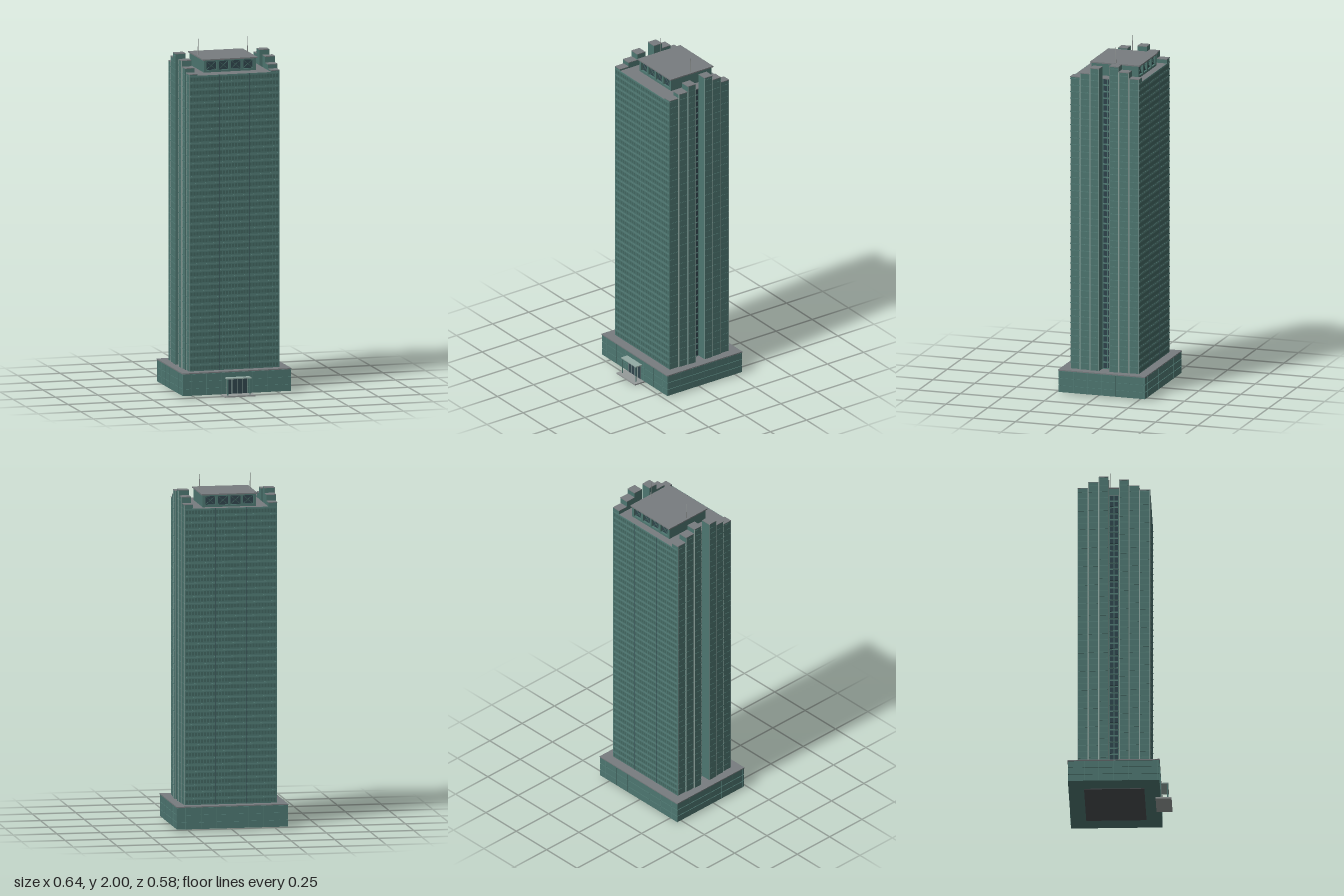
import * as THREE from 'three';
import { mergeGeometries } from 'three/addons/utils/BufferGeometryUtils.js';

const mat = (color, side = THREE.FrontSide) => new THREE.MeshStandardMaterial({ color, side });

// Box given by its limits on each axis
function box(x0, x1, y0, y1, z0, z1) {
  return new THREE.BoxGeometry(x1 - x0, y1 - y0, z1 - z0)
    .translate((x0 + x1) / 2, (y0 + y1) / 2, (z0 + z1) / 2);
}
const mirrorBox = (x0, x1, ...r) => [box(x0, x1, ...r), box(-x1, -x0, ...r)];

export function createModel() {
  const root = new THREE.Group();
  const wall = mat(0x4d7670), band = mat(0x557f79), pane = mat(0x41655f);
  const roof = mat(0x777c7f), dark = mat(0x2f444c), pale = mat(0x93aaa4), stone = mat(0x959a99);
  const add = (name, material, geometries) => {
    const mesh = new THREE.Mesh(mergeGeometries(geometries.map(g => g.index ? g.toNonIndexed() : g)), material);
    mesh.name = name;
    root.add(mesh);
  };

  // Main dimensions
  const base = 0.14, top = 1.83, floors = 44, step = (top - base) / floors;
  const front = 0.175, back = -0.235, coreX = 0.217;

  // Podium: three storey bands with recessed joints and a flat roof
  const podium = [box(-0.313, 0.313, 0.012, 0.134, -0.283, 0.223)];
  for (let i = 0; i < 3; i++) {
    const y = 0.01 + i * 0.042;
    podium.push(box(-0.318, 0.318, y, y + 0.038, -0.288, 0.228));
  }
  add('podium', wall, podium);
  add('podiumRoof', roof, [box(-0.32, 0.32, 0.134, base, -0.29, 0.23)]);
  add('underside', mat(0x4a4d50), [box(-0.21, 0.21, 0.006, 0.012, -0.2, 0.14)]);
  const podiumMullions = [];
  for (let i = -3; i <= 3; i++) {
    if (i) podiumMullions.push(box(i * 0.09 - 0.001, i * 0.09 + 0.001, 0.012, 0.132, -0.2895, 0.2295));
    const z = -0.03 + i * 0.083;
    podiumMullions.push(box(-0.3195, 0.3195, 0.012, 0.132, z - 0.001, z + 0.001));
  }
  add('podiumMullions', band, podiumMullions);

  // Entrance: step, canopy on posts and glazed doors
  add('entranceStep', stone, [box(-0.09, 0.09, 0, 0.008, 0.2, 0.29)]);
  add('canopy', pale, [box(-0.072, 0.072, 0.1, 0.106, 0.225, 0.271)]);
  add('canopyPosts', wall, mirrorBox(0.063, 0.068, 0.008, 0.1, 0.263, 0.268));
  add('doors', dark, [-0.045, -0.015, 0.015, 0.045].map(x =>
    box(x - 0.013, x + 0.013, 0.01, 0.092, 0.225, 0.2295)));
  add('doorFrames', pale, [-0.06, -0.03, 0, 0.03, 0.06].map(x =>
    box(x - 0.0015, x + 0.0015, 0.01, 0.098, 0.226, 0.231)));

  // Tower core
  add('towerCore', wall, [box(-coreX, coreX, base, top - 0.004, back, front)]);
  add('towerRoof', roof, [box(-coreX, coreX, top - 0.004, top, back, front)]);

  // Stepped side bays: back edge, front edge, reach in x, height
  const bays = [
    [-0.235, -0.175, 0.266, 1.855], [-0.175, -0.115, 0.271, 1.89], [-0.115, -0.06, 0.275, 1.92],
    [0, 0.055, 0.275, 1.9], [0.055, 0.115, 0.271, 1.865], [0.115, 0.175, 0.266, 1.84],
  ];
  const bayWalls = [], bayCaps = [], bayBands = [], posts = [];
  for (const [z0, z1, x, h] of bays) {
    bayWalls.push(...mirrorBox(coreX, x, base, h - 0.004, z0, z1));
    bayCaps.push(...mirrorBox(coreX, x + 0.001, h - 0.004, h, z0, z1));
    for (let y = base + step; y < h - 0.01; y += step)
      bayBands.push(...mirrorBox(x - 0.002, x + 0.001, y - 0.004, y, z0 + 0.003, z1 - 0.003));
    // Slim round posts on the outer corners
    for (const z of [z0 + 0.002, z1 - 0.002])
      for (const s of [-1, 1])
        posts.push(new THREE.CylinderGeometry(0.0022, 0.0022, h - base, 6)
          .translate(s * (x - 0.001), (h + base) / 2, z));
  }
  add('sideBays', wall, bayWalls);
  add('sideBayCaps', roof, bayCaps);
  add('sideBayBands', band, bayBands);
  add('cornerPosts', pale, posts);

  // Front and back facades: spandrel per floor and rows of windows
  const spandrels = [], panes = [];
  const columns = 30, pitch = 0.52 / columns;
  for (let f = 0; f < floors; f++) {
    const y = base + f * step;
    spandrels.push(box(-0.265, 0.265, y + step - 0.006, y + step, front - 0.001, front + 0.0012),
      box(-0.265, 0.265, y + step - 0.006, y + step, back - 0.0012, back + 0.001));
    for (let c = 0; c < columns; c++) {
      const x = -0.26 + (c + 0.5) * pitch;
      const g = new THREE.PlaneGeometry(pitch * 0.7, step * 0.5);
      panes.push(g.clone().translate(x, y + step * 0.45, front + 0.0006),
        g.rotateY(Math.PI).translate(x, y + step * 0.45, back - 0.0006));
    }
  }
  add('spandrels', band, spandrels);
  add('windows', pane, panes);
  add('facadeSeams', dark, [-0.09, 0.09].flatMap(x => [
    box(x - 0.0012, x + 0.0012, base, top, front, front + 0.0016),
    box(x - 0.0012, x + 0.0012, base, top, back - 0.0016, back)]));

  // Recessed slots between the bays: paired dark windows on every floor
  const slotWindows = [], slotRails = [];
  for (let f = 0; f < floors; f++) {
    const y = base + f * step;
    for (const z of [-0.043, -0.017])
      slotWindows.push(...mirrorBox(coreX, coreX + 0.002, y + 0.006, y + step - 0.004, z - 0.01, z + 0.01));
    slotRails.push(...mirrorBox(coreX, coreX + 0.003, y, y + 0.003, -0.055, -0.005));
  }
  add('slotWindows', dark, slotWindows);
  add('slotRails', band, slotRails);

  // Penthouse: solid sides, front and back walls with four openings
  const wallShape = new THREE.Shape([[-0.153, top], [0.153, top], [0.153, 1.899], [-0.153, 1.899]]
    .map(p => new THREE.Vector2(...p)));
  const openings = [-0.108, -0.036, 0.036, 0.108];
  for (const x of openings)
    wallShape.holes.push(new THREE.Path([[x - 0.029, 1.842], [x - 0.029, 1.892], [x + 0.029, 1.892], [x + 0.029, 1.842]]
      .map(p => new THREE.Vector2(...p))));
  const wallGeo = new THREE.ExtrudeGeometry(wallShape, { depth: 0.012, bevelEnabled: false });
  add('penthouseWalls', wall, [
    wallGeo.clone().translate(0, 0, 0.074), wallGeo.clone().translate(0, 0, -0.194),
    ...mirrorBox(0.141, 0.153, top, 1.899, -0.182, 0.074)]);
  add('penthouseInterior', dark, [box(-0.141, 0.141, top, 1.899, -0.182, 0.074)]);
  // Crossed braces in each opening
  const braces = [];
  for (const x of openings)
    for (const z of [0.078, -0.186])
      for (const s of [-1, 1])
        braces.push(new THREE.BoxGeometry(0.074, 0.003, 0.003).rotateZ(s * 0.71).translate(x, 1.867, z));
  add('penthouseBraces', pane, braces);
  add('penthouseRoof', roof, [box(-0.16, 0.16, 1.899, 1.906, -0.202, 0.094)]);

  // Roof antennas
  add('antennas', stone, [-0.145, 0.145].map(x =>
    new THREE.CylinderGeometry(0.0012, 0.0028, 0.094, 8).translate(x, 1.953, -0.055)));

  return root;
}
